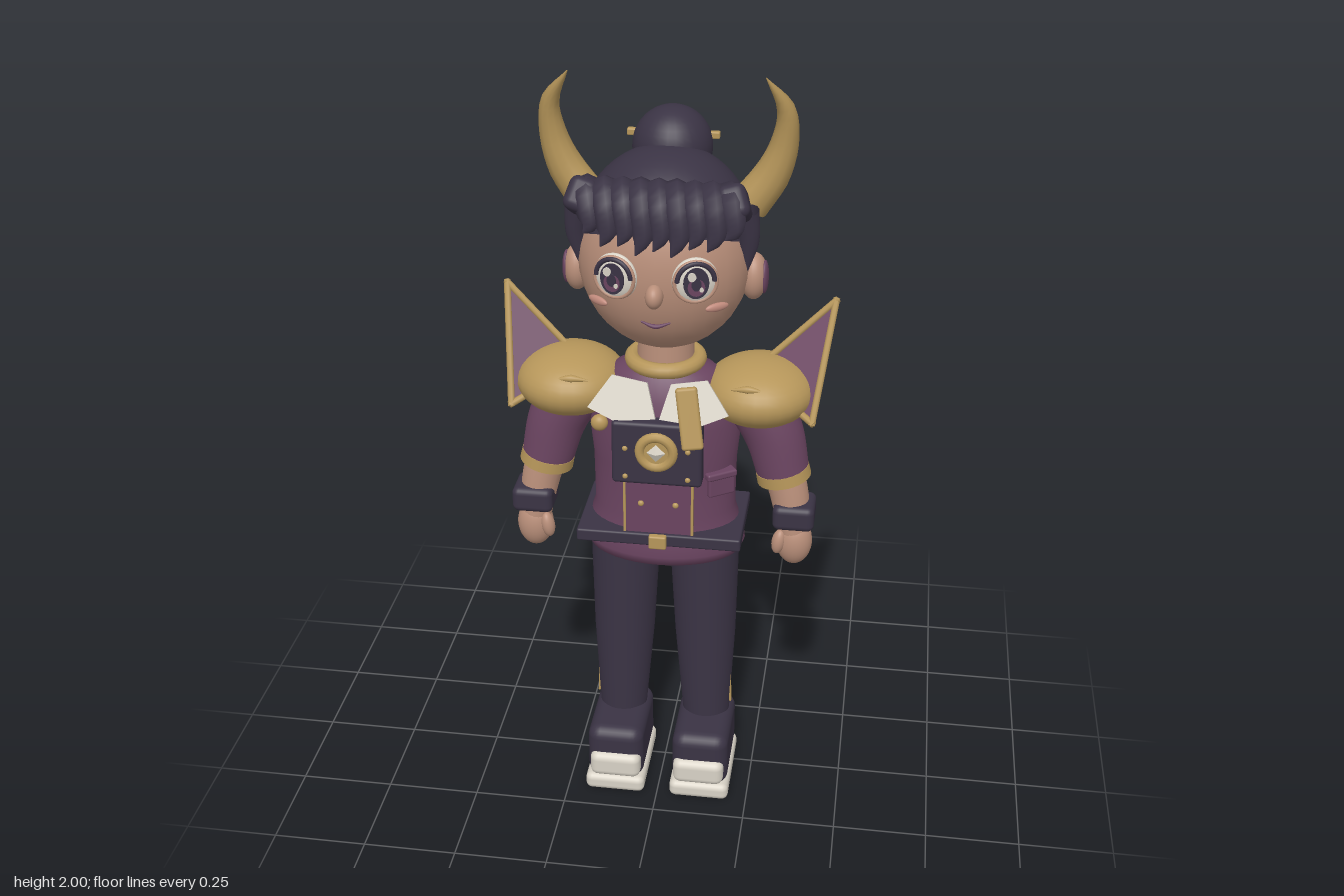
import * as THREE from 'three';
import { RoundedBoxGeometry } from 'three/addons/geometries/RoundedBoxGeometry.js';

const paint = (name, color, side = THREE.FrontSide) =>
  Object.assign(new THREE.MeshStandardMaterial({ color, side }), { name });

const V = (p) => new THREE.Vector3(...p);

// Tube through a few points whose radius follows a list of values
function taperedTube(points, radii, rings = 14, sides = 14) {
  const curve = new THREE.CatmullRomCurve3(points.map(V));
  const geo = new THREE.TubeGeometry(curve, rings, 1, sides);
  const pos = geo.attributes.position, v = new THREE.Vector3();
  for (let i = 0; i < pos.count; i++) {
    const t = Math.floor(i / (sides + 1)) / rings;
    const k = Math.min(Math.floor(t * (radii.length - 1)), radii.length - 2);
    const r = THREE.MathUtils.lerp(radii[k], radii[k + 1], t * (radii.length - 1) - k);
    const c = curve.getPointAt(t);
    v.fromBufferAttribute(pos, i).sub(c).multiplyScalar(r).add(c);
    pos.setXYZ(i, v.x, v.y, v.z);
  }
  return geo;
}

const ball = (rx, ry, rz) => new THREE.SphereGeometry(1, 28, 20).scale(rx, ry, rz);
const box = (w, h, d, r = 0.01) => new RoundedBoxGeometry(w, h, d, 3, r);
const disc = (rx, ry, d = 0.004) =>
  new THREE.CylinderGeometry(1, 1, d, 24).rotateX(Math.PI / 2).scale(rx, ry, 1);

export function createModel() {
  const dark = paint('dark cloth and hair', 0x3a3344, THREE.DoubleSide);
  const purple = paint('purple cloth', 0x6a4460, THREE.DoubleSide);
  const gold = paint('gold', 0xb6965a);
  const skin = paint('skin', 0xb98f7a);
  const ivory = paint('ivory', 0xd8d2c6);
  const blush = paint('blush', 0xc08a7c);

  const model = new THREE.Group();
  model.name = 'hornedFigure';
  let target = model;
  const add = (name, geo, mat, p = [0, 0, 0], r = [0, 0, 0]) => {
    const m = new THREE.Mesh(geo, mat);
    m.name = name;
    m.position.set(...p);
    m.rotation.set(...r);
    target.add(m);
    return m;
  };
  const section = (name, parent = model) => {
    target = new THREE.Group();
    target.name = name;
    parent.add(target);
    return target;
  };

  // Head and face
  const head = section('head');
  add('face', ball(0.215, 0.238, 0.18), skin, [0, 1.555, 0.01]);
  add('neck', new THREE.CylinderGeometry(0.07, 0.075, 0.12, 24), skin, [0, 1.3, -0.01]);
  add('nose', ball(0.022, 0.03, 0.03), skin, [0, 1.52, 0.192]);
  add('mouth', taperedTube([[-0.036, 1.443, 0.167], [0, 1.434, 0.173], [0.036, 1.443, 0.167]],
    [0.002, 0.006, 0.002]), purple);

  // Hair cap, bun and pins
  add('hairCap', new THREE.SphereGeometry(1, 36, 14, 0, Math.PI * 2, 0, Math.PI / 2)
    .scale(0.22, 0.232, 0.205), dark, [0, 1.59, -0.015], [-0.37, 0, 0]);
  add('hairBun', ball(0.1, 0.1, 0.1), dark, [0, 1.79, -0.125]);
  for (const s of [-1, 1]) add('bunPin', box(0.025, 0.018, 0.018, 0.004), gold, [s * 0.103, 1.815, -0.14]);

  // Fringe: a row of curled locks sweeping forward and down
  for (let i = 0; i < 9; i++) {
    const u = i / 4 - 1, x = u * 0.17, drop = 0.03 * (1 - u * u) + (i % 2) * 0.015;
    add('fringeLock', taperedTube([[x * 0.95, 1.72, 0.08], [x, 1.755, 0.125],
      [x + 0.008, 1.735, 0.165 - 0.01 * u * u], [x + 0.015, 1.685 - drop / 2, 0.182 - 0.015 * u * u],
      [x - 0.004, 1.66 - drop, 0.18 - 0.02 * u * u]], [0.034, 0.038, 0.036, 0.028, 0.002], 14, 8), dark);
  }

  for (const s of [-1, 1]) {
    target = head;
    add('sideCurl', box(0.07, 0.085, 0.11, 0.022), dark, [s * 0.18, 1.735, 0.12], [-0.5, 0, s * 0.3]);
    add('sideburn', taperedTube([[s * 0.2, 1.7, 0.07], [s * 0.21, 1.63, 0.06], [s * 0.203, 1.53, 0.045]],
      [0.035, 0.025, 0.003]), dark);
    add('ear', ball(0.034, 0.06, 0.045), skin, [s * 0.22, 1.51, 0.005]);
    add('innerEar', ball(0.01, 0.043, 0.027), purple, [s * 0.247, 1.51, 0.008]);
    add('cheek', ball(0.032, 0.011, 0.008), blush, [s * 0.145, 1.48, 0.14], [0, s * 0.65, 0]);
    add('horn', taperedTube([[s * 0.2, 1.68, -0.035], [s * 0.255, 1.76, -0.04], [s * 0.282, 1.84, -0.04],
      [s * 0.283, 1.92, -0.03], [s * 0.235, 2.0, -0.01]], [0.05, 0.045, 0.034, 0.022, 0.001], 16, 12), gold);

    // Eye built up in layers facing slightly outward
    const eye = section('eye', head);
    eye.position.set(s * 0.095, 1.56, 0.172);
    eye.rotation.y = s * 0.28;
    add('eyeWhite', ball(0.056, 0.058, 0.02), ivory);
    add('eyeRim', new THREE.TorusGeometry(0.051, 0.005, 8, 28), skin, [0, 0, 0.009]);
    add('upperLid', new THREE.TorusGeometry(0.045, 0.006, 8, 20, Math.PI), dark, [0, 0.002, 0.014]);
    add('iris', disc(0.031, 0.039), dark, [0, 0, 0.02]);
    add('irisGlow', disc(0.021, 0.022), purple, [0, -0.01, 0.022]);
    add('pupil', disc(0.012, 0.016), dark, [0, -0.002, 0.024]);
    add('eyeGlint', disc(0.01, 0.011), ivory, [-0.011, 0.018, 0.025]);
    add('eyeGlint', disc(0.005, 0.006), ivory, [0.012, -0.015, 0.025]);
  }

  // Torso, collar and belt
  section('torso');
  const profile = [[0, 0.72], [0.17, 0.72], [0.203, 0.73], [0.214, 0.755], [0.205, 0.8], [0.186, 0.86],
    [0.188, 1.0], [0.2, 1.12], [0.18, 1.2], [0.13, 1.25], [0.07, 1.28]].map((p) => new THREE.Vector2(...p));
  add('tunic', new THREE.LatheGeometry(profile, 40).scale(1, 1, 0.66), purple);
  add('neckRing', new THREE.TorusGeometry(0.085, 0.02, 12, 32), gold, [0, 1.27, -0.005], [Math.PI / 2, 0, 0]);
  add('belt', box(0.43, 0.035, 0.262, 0.006), dark, [0, 0.81, 0.012]);
  add('buckle', box(0.046, 0.038, 0.02, 0.005), gold, [0, 0.81, 0.148]);
  add('frontPanel', box(0.18, 0.17, 0.05, 0.008), purple, [0, 0.905, 0.108]);
  add('pocket', box(0.075, 0.06, 0.03, 0.006), purple, [0.152, 0.955, 0.072], [0, 0.6, 0]);
  add('pocketFlap', box(0.085, 0.02, 0.036, 0.006), purple, [0.152, 0.985, 0.074], [0, 0.6, 0]);
  for (const s of [-1, 1]) {
    add('panelTrim', box(0.007, 0.16, 0.009, 0.002), gold, [s * 0.088, 0.9, 0.131]);
    add('panelButton', ball(0.008, 0.008, 0.006), gold, [s * 0.045, 0.915, 0.135]);
    const flap = new THREE.Shape([[0.005, 0.01], [0.03, 0.1], [0.12, 0.115], [0.178, 0.03], [0.11, 0]]
      .map(([x, y]) => new THREE.Vector2(s * x, y)));
    add('collarFlap', new THREE.ExtrudeGeometry(flap, { depth: 0.014, bevelEnabled: false }),
      ivory, [0, 1.155, 0.142], [-0.4, 0, 0]);
  }
  add('scarfEnd', box(0.055, 0.16, 0.02, 0.008), gold, [0.082, 1.18, 0.155], [-0.25, 0, 0.15]);
  add('brooch', ball(0.022, 0.022, 0.018), gold, [-0.15, 1.14, 0.13]);

  // Chest device with a round dial
  section('chestDevice');
  add('deviceBody', box(0.23, 0.175, 0.05, 0.01), dark, [0, 1.075, 0.14]);
  add('dialRing', new THREE.TorusGeometry(0.042, 0.013, 10, 28), gold, [0, 1.085, 0.166]);
  add('dial', disc(0.04, 0.04, 0.008), gold, [0, 1.085, 0.167]);
  add('dialGem', new THREE.OctahedronGeometry(0.024).scale(1, 1, 0.5), ivory, [0, 1.085, 0.172]);
  for (const s of [-1, 1]) {
    add('deviceStud', ball(0.007, 0.007, 0.005), gold, [s * 0.08, 1.09, 0.166]);
    add('deviceStud', ball(0.007, 0.007, 0.005), gold, [s * 0.08, 1.01, 0.166]);
  }

  for (const s of [-1, 1]) {
    // Arm
    section(s > 0 ? 'leftArm' : 'rightArm');
    add('sleeve', taperedTube([[s * 0.22, 1.19, 0.005], [s * 0.28, 1.09, 0.012], [s * 0.312, 0.97, 0.018]],
      [0.08, 0.077, 0.068], 12, 24), purple);
    add('sleeveCuff', new THREE.CylinderGeometry(0.07, 0.071, 0.03, 28), gold, [s * 0.311, 0.972, 0.018], [0, 0, s * 0.22]);
    add('forearm', taperedTube([[s * 0.305, 1.0, 0.018], [s * 0.33, 0.91, 0.025], [s * 0.345, 0.8, 0.032]],
      [0.055, 0.05, 0.04], 10, 20), skin);
    add('wristBand', box(0.108, 0.07, 0.112, 0.018), dark, [s * 0.345, 0.865, 0.032]);
    add('hand', ball(0.048, 0.068, 0.043), skin, [s * 0.347, 0.778, 0.035]);
    add('thumb', ball(0.018, 0.036, 0.02), skin, [s * 0.308, 0.785, 0.06], [0, 0, s * -0.15]);

    // Shoulder guard with a framed triangular fin
    section(s > 0 ? 'leftShoulderGuard' : 'rightShoulderGuard');
    add('pauldron', ball(0.143, 0.085, 0.147), gold, [s * 0.243, 1.2, 0.002]);
    add('pauldronRidge', taperedTube([[s * 0.18, 1.245, 0.11], [s * 0.225, 1.252, 0.118], [s * 0.265, 1.245, 0.115]],
      [0.002, 0.01, 0.002]), gold);
    const corners = [[s * 0.422, 1.42, -0.078], [s * 0.383, 1.16, 0.098], [s * 0.22, 1.23, -0.03]];
    const fin = new THREE.BufferGeometry().setFromPoints(corners.map(V));
    fin.computeVertexNormals();
    add('finPanel', fin, purple);
    corners.forEach((a, i) => {
      const from = V(a), to = V(corners[(i + 1) % 3]);
      const bar = add('finEdge', new THREE.CylinderGeometry(0.009, 0.009, from.distanceTo(to) + 0.012, 8), gold);
      bar.position.copy(from).add(to).multiplyScalar(0.5);
      bar.quaternion.setFromUnitVectors(new THREE.Vector3(0, 1, 0), to.sub(from).normalize());
    });

    // Leg and shoe
    section(s > 0 ? 'leftLeg' : 'rightLeg');
    add('trouser', taperedTube([[s * 0.106, 0.76, 0.002], [s * 0.112, 0.46, 0.004], [s * 0.118, 0.16, 0.008]],
      [0.094, 0.083, 0.063], 12, 28), dark);
    add('trouserTab', box(0.006, 0.1, 0.01, 0.002), gold, [s * 0.185, 0.27, 0.015], [0, 0, s * 0.03]);
    add('shoe', box(0.155, 0.165, 0.245, 0.035), dark, [s * 0.118, 0.118, 0.056]);
    add('toeCap', box(0.14, 0.075, 0.06, 0.022), ivory, [s * 0.116, 0.09, 0.166]);
    add('sole', box(0.165, 0.05, 0.26, 0.018), ivory, [s * 0.118, 0.025, 0.06]);
  }
  return model;
}
